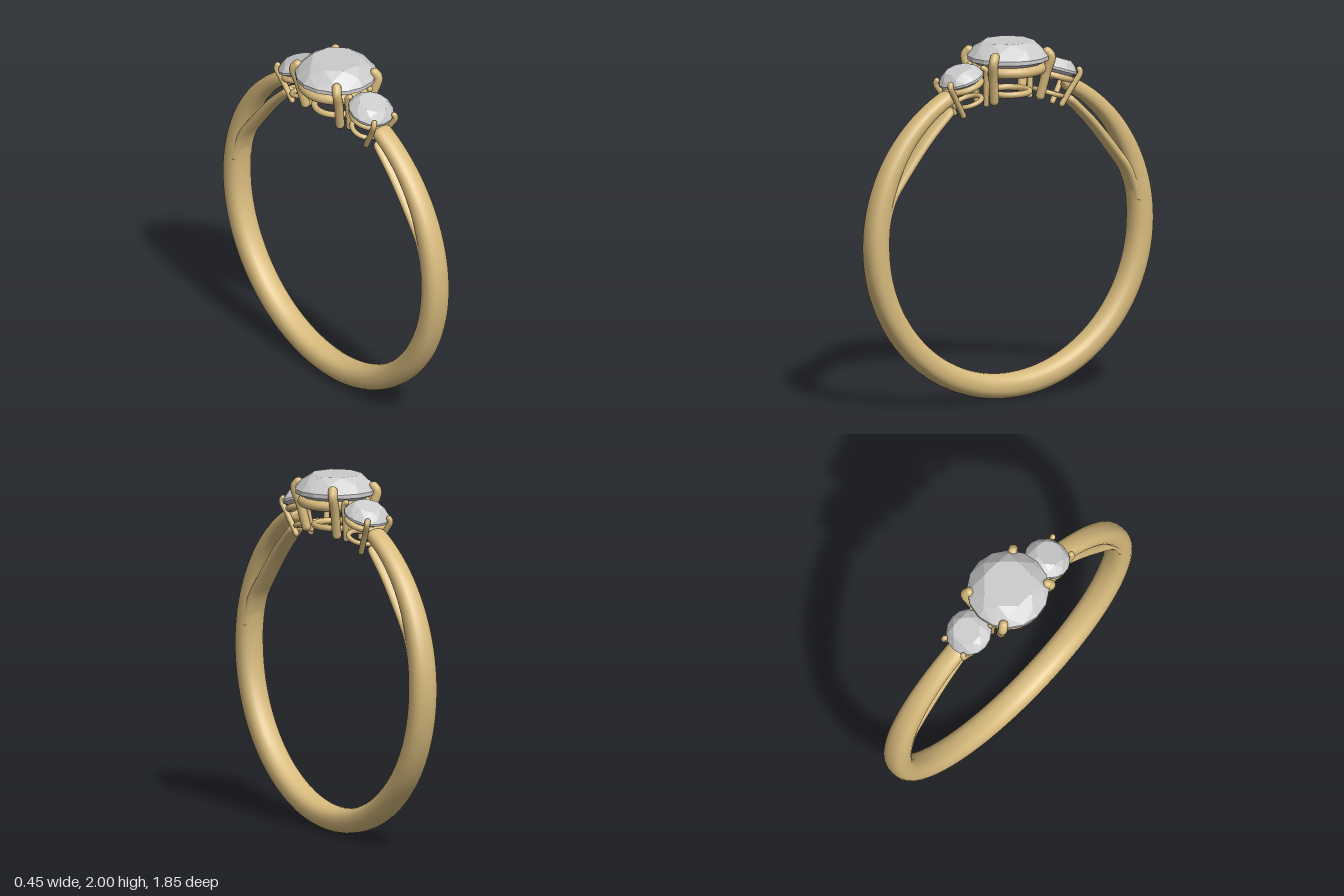
import * as THREE from 'three';
import { ConvexGeometry } from 'three/addons/geometries/ConvexGeometry.js';

const gold = new THREE.MeshStandardMaterial({ color: 0xd6b97c });
const stone = new THREE.MeshStandardMaterial({ color: 0xcccccc, flatShading: true });

function add(parent, name, geometry, material = gold) {
  const mesh = new THREE.Mesh(geometry, material);
  mesh.name = name;
  parent.add(mesh);
  return mesh;
}

// Sweep a rounded section along a path in the YZ plane.
// at(t) returns { p: [y, z], w: half width in x, h: half thickness }.
function sweep(at, steps, cap, sides = 24) {
  const pos = [], idx = [];
  for (let i = 0; i <= steps; i++) {
    const t = i / steps, { p, w, h } = at(t);
    const a = at(Math.max(0, t - 0.002)).p, b = at(Math.min(1, t + 0.002)).p;
    const len = Math.hypot(b[0] - a[0], b[1] - a[1]);
    const ty = (b[0] - a[0]) / len, tz = (b[1] - a[1]) / len;
    // Rounded closed ends
    const e = 1 - Math.min(1, Math.min(t, 1 - t) / cap);
    const f = Math.sqrt(1 - e * e);
    for (let j = 0; j < sides; j++) {
      const q = (j / sides) * Math.PI * 2, c = Math.cos(q), s = Math.sin(q);
      const x = Math.sign(c) * Math.abs(c) ** 0.85 * w * f;
      const n = Math.sign(s) * Math.abs(s) ** 0.85 * h * f;
      pos.push(x, p[0] + n * tz, p[1] - n * ty);
      if (i < steps) {
        const k = (j + 1) % sides, r = i * sides;
        idx.push(r + j, r + k, r + sides + j, r + k, r + sides + k, r + sides + j);
      }
    }
  }
  const g = new THREE.BufferGeometry();
  g.setAttribute('position', new THREE.Float32BufferAttribute(pos, 3));
  g.setIndex(idx);
  g.computeVertexNormals();
  return g;
}

// Faceted round-cut stone, girdle at y = 0
function gemGeometry(r, crown, depth, girdle) {
  const pts = [new THREE.Vector3(0, -depth, 0)];
  const ring = (radius, y, n, offset) => {
    for (let i = 0; i < n; i++) {
      const a = ((i + offset) / n) * Math.PI * 2;
      pts.push(new THREE.Vector3(Math.cos(a) * radius, y, Math.sin(a) * radius));
    }
  };
  ring(r * 0.62, crown, 8, 0.5);
  ring(r * 0.84, crown * 0.55, 8, 0);
  ring(r, 0, 16, 0);
  ring(r, -girdle, 16, 0);
  ring(r * 0.3, -girdle - (depth - girdle) * 0.74, 8, 0.5);
  return new ConvexGeometry(pts);
}

function hoop(parent, name, radius, tube, y) {
  const mesh = add(parent, name, new THREE.TorusGeometry(radius, tube, 14, 48), gold);
  mesh.rotation.x = Math.PI / 2;
  mesh.position.y = y;
}

// Four mirrored claws following one path, with round ends
function prongs(parent, name, path, radius) {
  for (const sx of [1, -1]) for (const sz of [1, -1]) {
    const claw = new THREE.Group();
    claw.name = name;
    const pts = path.map(([x, y, z]) => new THREE.Vector3(x * sx, y, z * sz));
    add(claw, name + 'Stem', new THREE.TubeGeometry(new THREE.CatmullRomCurve3(pts), 20, radius, 12));
    for (const end of [pts[0], pts[pts.length - 1]])
      add(claw, name + 'End', new THREE.SphereGeometry(radius, 14, 10)).position.copy(end);
    parent.add(claw);
  }
}

export function createModel() {
  const ring = new THREE.Group();
  ring.name = 'threeStoneRing';

  // Band: open circle, thinning and narrowing toward the stones
  const R = 0.926, start = THREE.MathUtils.degToRad(24);
  add(ring, 'band', sweep((t) => {
    const a = start + t * (Math.PI * 2 - 2 * start);
    const k = THREE.MathUtils.smoothstep(Math.abs(t - 0.5) * 2, 0.55, 1);
    const h = 0.069 - 0.026 * k;
    return { p: [R + Math.cos(a) * (R - h), Math.sin(a) * (R - h)], w: 0.077 - 0.019 * k, h };
  }, 260, 0.01));

  // Lower strands that split from the inside of the band
  const strandPath = new THREE.CatmullRomCurve3(
    [[1.02, 0.825], [1.1, 0.808], [1.2, 0.768], [1.3, 0.695], [1.5, 0.53], [1.66, 0.365]]
      .map(([y, z]) => new THREE.Vector3(0, y, z)));
  const strand = sweep((t) => {
    const v = strandPath.getPoint(t);
    return { p: [v.y, v.z], w: 0.07 - 0.02 * t, h: 0.032 - 0.008 * t };
  }, 60, 0.04);
  for (const turn of [0, Math.PI])
    add(ring, 'splitStrand', strand).rotation.y = turn;

  // Centre setting
  const centre = new THREE.Group();
  centre.name = 'centreSetting';
  add(centre, 'centreStone', gemGeometry(0.227, 0.08, 0.137, 0.022), stone).position.y = 1.92;
  hoop(centre, 'centreUpperRail', 0.182, 0.03, 1.848);
  hoop(centre, 'centreBaseRail', 0.118, 0.018, 1.715);
  prongs(centre, 'centreProng',
    [[0.095, 1.69, 0.15], [0.122, 1.82, 0.172], [0.147, 1.915, 0.187], [0.135, 1.942, 0.17]], 0.026);
  ring.add(centre);

  // Side settings, leaning away from the centre
  for (const turn of [0, Math.PI]) {
    const pivot = new THREE.Group();
    pivot.name = 'sideSetting';
    pivot.rotation.y = turn;
    const head = new THREE.Group();
    head.name = 'sideHead';
    head.position.set(0, 1.822, 0.306);
    head.rotation.x = 0.32;
    add(head, 'sideStone', gemGeometry(0.128, 0.052, 0.078, 0.013), stone);
    hoop(head, 'sideUpperRail', 0.1, 0.018, -0.048);
    hoop(head, 'sideBaseRail', 0.078, 0.014, -0.147);
    prongs(head, 'sideProng',
      [[0.048, -0.19, 0.078], [0.065, -0.07, 0.105], [0.077, 0.005, 0.121], [0.071, 0.02, 0.112]], 0.016);
    pivot.add(head);
    ring.add(pivot);
  }
  return ring;
}
